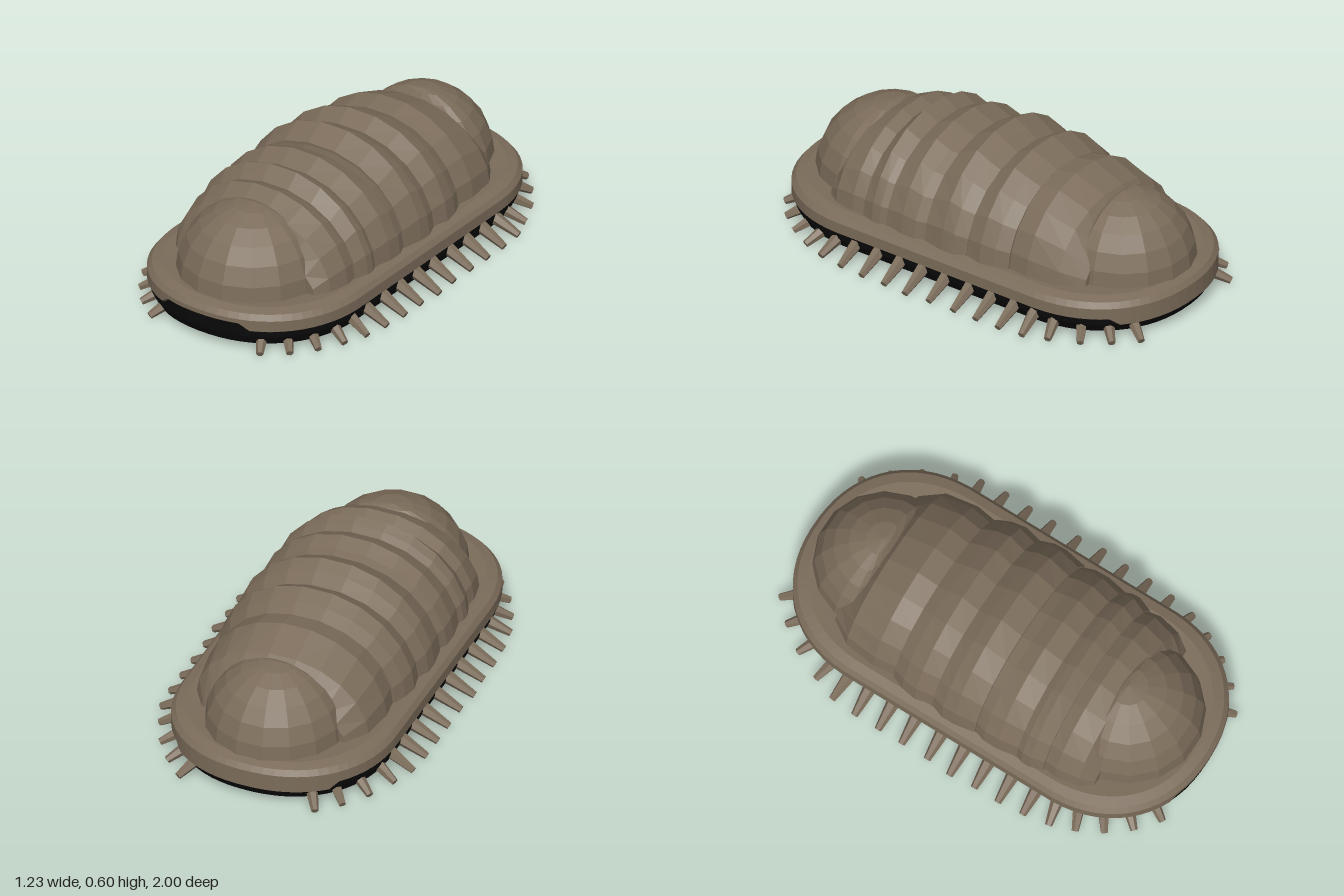
import * as THREE from 'three';

const shellBrown = new THREE.MeshStandardMaterial({ color: 0x7b6c5a, flatShading: true });
shellBrown.name = 'shell brown';
const underBlack = new THREE.MeshStandardMaterial({ color: 0x080808, flatShading: true });
underBlack.name = 'underside black';

const pow = (v, p) => Math.sign(v) * Math.abs(v) ** p;

// Surface through rows of [x, y, z] points
function loft(name, rows, material) {
  const cols = rows[0].length, index = [];
  for (let i = 0; i < rows.length - 1; i++) {
    for (let j = 0; j < cols - 1; j++) {
      const a = i * cols + j, d = a + cols;
      index.push(a, a + 1, d + 1, a, d + 1, d);
    }
  }
  const g = new THREE.BufferGeometry();
  g.setAttribute('position', new THREE.Float32BufferAttribute(rows.flat(2), 3));
  g.setIndex(index);
  g.computeVertexNormals();
  const mesh = new THREE.Mesh(g, material);
  mesh.name = name;
  return mesh;
}

// Arched back plate from sections [z, height, half width]
function plate(name, sections) {
  const base = 0.17, n = 11;
  const arch = ([z, h, w], k = 1) => Array.from({ length: n + 1 }, (_, j) => {
    const t = (j / n) * Math.PI;
    return [k * w * pow(Math.cos(t), 0.95), base + k * (h - base) * Math.max(0, Math.sin(t)), z];
  });
  const rows = sections.map(s => arch(s));
  rows.unshift(arch(sections[0], 0.6));
  rows.push(arch(sections[sections.length - 1], 0.6));
  return loft(name, rows, shellBrown);
}

// Long oval band from a profile of [inset, y]; adjust may change y locally
function ovalBand(name, profile, material, adjust = (x, y) => y) {
  const n = 64;
  const rows = profile.map(([inset, y]) => Array.from({ length: n + 1 }, (_, j) => {
    const a = ((j + 0.5) / n) * Math.PI * 2;
    const c = pow(Math.cos(a), 0.91), s = pow(Math.sin(a), 0.91);
    const z = (0.5 * Math.sign(s) + 0.5 * s);
    return [(0.5 - inset) * c, adjust(0.5 * c, y, z), z * (1 - inset)];
  }));
  return loft(name, rows, material);
}

// Half dome, longer towards its outer end
function dome(name, z, rx, ry, outer, inner, dir) {
  const g = new THREE.SphereGeometry(1, 16, 6, Math.PI / 16, Math.PI * 2, 0, Math.PI / 2);
  const p = g.attributes.position;
  for (let i = 0; i < p.count; i++) {
    const out = p.getZ(i) * dir;
    p.setXYZ(i, p.getX(i) * rx, 0.18 + p.getY(i) * ry, z + dir * out * (out > 0 ? outer : inner));
  }
  g.computeVertexNormals();
  const mesh = new THREE.Mesh(g, shellBrown);
  mesh.name = name;
  return mesh;
}

// Tapered leg reaching out and down to its tip
function leg(x, z) {
  const tip = new THREE.Vector3(x, 0.022, z);
  const out = new THREE.Vector3(x, 0, z - THREE.MathUtils.clamp(z, -0.45, 0.45)).normalize();
  const root = tip.clone().addScaledVector(out, -0.17).setY(0.105);
  const dir = tip.clone().sub(root);
  const mesh = new THREE.Mesh(new THREE.CylinderGeometry(0.016, 0.036, dir.length(), 6), shellBrown);
  mesh.position.copy(root).add(tip).multiplyScalar(0.5);
  mesh.quaternion.setFromUnitVectors(new THREE.Vector3(0, 1, 0), dir.normalize());
  mesh.name = 'leg';
  return mesh;
}

export function createModel() {
  const model = new THREE.Group();
  model.name = 'segmented crawler';

  // Rim, raised over the mouth and deeper at the tail
  model.add(ovalBand('rim',
    [[0.3, 0.19], [0.13, 0.195], [0.06, 0.2], [0.018, 0.188], [0, 0.165], [0, 0.115], [0.02, 0.1], [0.1, 0.1]],
    shellBrown,
    (x, y, z) => {
      if (y > 0.12) return y;
      if (z > 0.9 && Math.abs(x) < 0.19) return 0.145;
      return z < -0.85 ? y - 0.03 : y;
    }));

  // Dark belly, showing in the mouth opening
  model.add(ovalBand('belly', [[0.012, 0.15], [0.012, 0.08], [0.03, 0.04], [0.5, 0.04]], underBlack));

  // Back plates, tail to head
  const plates = [
    [[-0.68, 0.36, 0.34], [-0.58, 0.49, 0.405], [-0.43, 0.55, 0.425], [-0.33, 0.53, 0.41]],
    [[-0.33, 0.53, 0.42], [-0.27, 0.56, 0.445], [-0.2, 0.59, 0.455], [-0.11, 0.54, 0.435]],
    [[-0.12, 0.545, 0.44], [-0.06, 0.58, 0.46], [0, 0.61, 0.46], [0.1, 0.555, 0.445]],
    [[0.09, 0.54, 0.435], [0.15, 0.555, 0.455], [0.22, 0.585, 0.455], [0.31, 0.54, 0.44]],
    [[0.29, 0.53, 0.43], [0.34, 0.56, 0.45], [0.38, 0.58, 0.45], [0.44, 0.52, 0.43]],
    [[0.43, 0.51, 0.42], [0.5, 0.54, 0.43], [0.6, 0.49, 0.41], [0.66, 0.36, 0.37]],
  ];
  plates.forEach((s, i) => model.add(plate('backPlate' + (i + 1), s)));

  // Head and tail shields
  model.add(dome('headShield', 0.6, 0.335, 0.335, 0.335, 0.1, 1));
  model.add(dome('tailShield', -0.64, 0.315, 0.325, 0.315, 0.08, -1));

  // Legs in mirrored pairs, by tip position
  const tips = [
    [0.32, -0.97], [0.41, -0.88], [0.49, -0.77], [0.55, -0.64], [0.59, -0.53], [0.6, -0.41],
    [0.6, -0.29], [0.6, -0.17], [0.6, -0.04], [0.61, 0.08], [0.6, 0.2], [0.6, 0.32],
    [0.59, 0.44], [0.57, 0.56], [0.53, 0.67], [0.47, 0.78], [0.39, 0.88], [0.29, 0.96],
  ];
  const legs = new THREE.Group();
  legs.name = 'legs';
  for (const [x, z] of tips) legs.add(leg(x, z), leg(-x, z));
  model.add(legs);

  return model;
}
